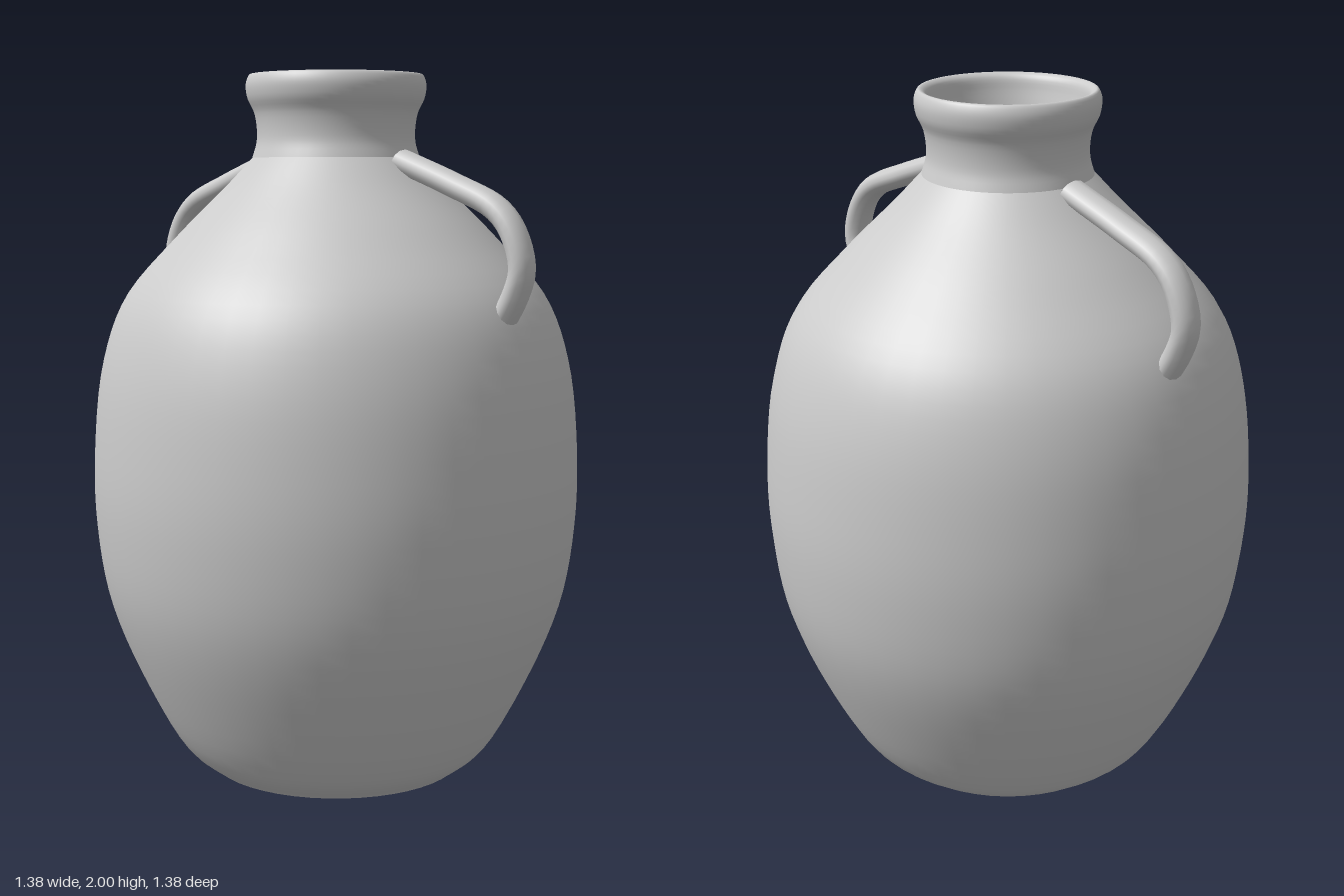
import * as THREE from 'three';

const material = new THREE.MeshStandardMaterial({ color: 0xcccccc, side: THREE.DoubleSide });

function addMesh(parent, name, geometry) {
  const mesh = new THREE.Mesh(geometry, material);
  mesh.name = name;
  parent.add(mesh);
  return mesh;
}

// Smooth curve through [radius, height] points, revolved around y
function turned(points, divisions) {
  const curve = new THREE.CatmullRomCurve3(
    points.map(([r, y]) => new THREE.Vector3(r, y, 0)), false, 'centripetal');
  const profile = curve.getPoints(divisions).map((p) => new THREE.Vector2(Math.max(p.x, 0), p.y));
  return new THREE.LatheGeometry(profile, 48);
}

export function createModel() {
  const group = new THREE.Group();
  group.name = 'jug';

  // Outer wall, from the foot up to the shoulder
  addMesh(group, 'body', turned([
    [0.36, 0.025], [0.44, 0.09], [0.56, 0.3], [0.65, 0.53], [0.685, 0.75], [0.688, 0.95],
    [0.66, 1.2], [0.595, 1.38], [0.45, 1.55], [0.31, 1.69], [0.235, 1.77],
  ], 48));

  // Flat foot with a slight bevel
  addMesh(group, 'foot', new THREE.LatheGeometry(
    [[0, 0], [0.26, 0], [0.36, 0.025]].map(([r, y]) => new THREE.Vector2(r, y)), 48));

  // Neck and rolled lip, turning over into the mouth
  addMesh(group, 'neck', turned([
    [0.235, 1.77], [0.222, 1.82], [0.228, 1.89], [0.248, 1.935], [0.252, 1.975],
    [0.24, 2.0], [0.222, 1.99], [0.213, 1.95], [0.2, 1.88], [0.188, 1.78],
  ], 40));

  // Inner wall and inside floor
  addMesh(group, 'innerWall', turned([
    [0.188, 1.78], [0.26, 1.67], [0.41, 1.53], [0.555, 1.36], [0.62, 1.18], [0.65, 0.95],
    [0.645, 0.75], [0.61, 0.53], [0.52, 0.3], [0.4, 0.1], [0.25, 0.05], [0, 0.045],
  ], 40));

  // Pair of bent handles, slightly wider than thick
  const path = new THREE.CatmullRomCurve3([
    [0.24, 1.76], [0.42, 1.695], [0.56, 1.635], [0.615, 1.575], [0.645, 1.48], [0.625, 1.41], [0.575, 1.325],
  ].map(([x, y]) => new THREE.Vector3(x, y, 0)), false, 'centripetal');
  for (const side of [1, -1]) {
    const handle = new THREE.Group();
    handle.name = side > 0 ? 'leftHandle' : 'rightHandle';
    addMesh(handle, 'handleBar', new THREE.TubeGeometry(path, 28, 0.033, 12));
    // Caps closing the bar ends
    for (const t of [0, 1]) {
      const cap = addMesh(handle, 'handleEnd', new THREE.CircleGeometry(0.033, 12));
      const direction = path.getTangentAt(t).multiplyScalar(t ? 1 : -1);
      cap.position.copy(path.getPointAt(t));
      cap.quaternion.setFromUnitVectors(new THREE.Vector3(0, 0, 1), direction);
    }
    handle.scale.z = 1.35;
    if (side < 0) handle.rotation.y = Math.PI;
    group.add(handle);
  }
  return group;
}
